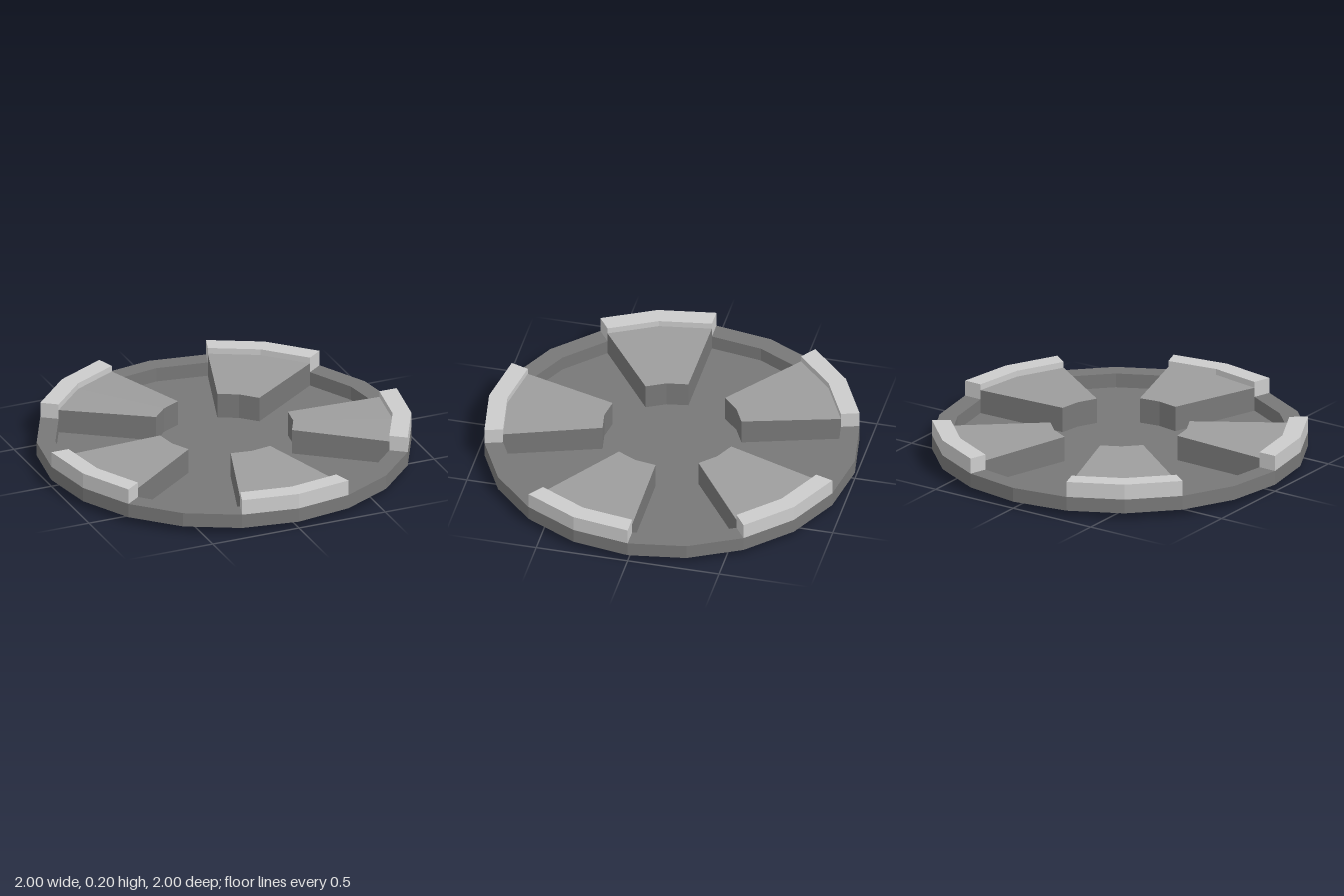
import * as THREE from 'three';
import { toCreasedNormals } from 'three/addons/utils/BufferGeometryUtils.js';

const SIDES = 20;
const STEP = (Math.PI * 2) / SIDES;
const points = (list) => list.map(([r, y]) => new THREE.Vector2(r, y));

const dark = new THREE.MeshStandardMaterial({ color: 0x787878 });
const wedgeSide = new THREE.MeshStandardMaterial({ color: 0x787878, flatShading: true, side: THREE.DoubleSide });
const wedgeTop = new THREE.MeshStandardMaterial({ color: 0x9d9d9d, flatShading: true });
const light = new THREE.MeshStandardMaterial({ color: 0xcccccc, flatShading: true, side: THREE.DoubleSide });

function addMesh(parent, name, geometry, material) {
  const mesh = new THREE.Mesh(geometry, material);
  mesh.name = name;
  parent.add(mesh);
  return mesh;
}

// One raised wedge with a pale lip on the rim, centred on +z
function createWedge() {
  const wedge = new THREE.Group();
  const sweep = (list) => new THREE.LatheGeometry(points(list), 2, -STEP, STEP * 2);

  addMesh(wedge, 'lip', sweep([[1, 0.115], [1, 0.2], [0.9, 0.2], [0.9, 0.167]]), light);
  addMesh(wedge, 'wedgeTop', sweep([[0.9, 0.167], [0.37, 0.18]]), wedgeTop);
  addMesh(wedge, 'wedgeNose', sweep([[0.37, 0.18], [0.37, 0.042]]), wedgeSide);

  // Flat cheeks closing both ends of the sweep
  const lipSection = new THREE.Shape(points([[0.9, 0.115], [1, 0.115], [1, 0.2], [0.9, 0.2]]));
  const bodySection = new THREE.Shape(points([[0.37, 0.042], [0.9, 0.037], [0.9, 0.167], [0.37, 0.18]]));
  for (const side of [-1, 1]) {
    const turn = side * STEP - Math.PI / 2;
    addMesh(wedge, 'lipCheek', new THREE.ShapeGeometry(lipSection), light).rotation.y = turn;
    addMesh(wedge, 'wedgeCheek', new THREE.ShapeGeometry(bodySection), wedgeSide).rotation.y = turn;
  }
  return wedge;
}

// Sloped skirt under the rim, its normals leaning outwards for a soft, rounded look
function createSkirtGeometry() {
  const skirt = new THREE.LatheGeometry(points([[0.62, 0], [1, 0.037]]), SIDES);
  const { position, normal } = skirt.attributes;
  const n = new THREE.Vector3();
  for (let i = 0; i < position.count; i++) {
    n.set(position.getX(i) * 0.6, -1, position.getZ(i) * 0.6).normalize();
    normal.setXYZ(i, n.x, n.y, n.z);
  }
  return skirt;
}

export function createModel() {
  const model = new THREE.Group();
  model.name = 'wedgedDisc';

  // Shallow dish: flat underside, skirt, rim and slightly domed floor
  const rimAndFloor = points([[1, 0.037], [1, 0.115], [0.9, 0.115], [0.9, 0.037], [0, 0.045]]);
  addMesh(model, 'rimAndFloor', toCreasedNormals(new THREE.LatheGeometry(rimAndFloor, SIDES), 0.07), dark);
  addMesh(model, 'skirt', createSkirtGeometry(), dark);
  addMesh(model, 'underside', new THREE.CircleGeometry(0.62, SIDES).rotateX(Math.PI / 2), dark);

  // Five wedges around the dish
  for (let i = 0; i < 5; i++) {
    const wedge = createWedge();
    wedge.name = `wedge${i + 1}`;
    wedge.rotation.y = (i * Math.PI * 2) / 5;
    model.add(wedge);
  }
  return model;
}
